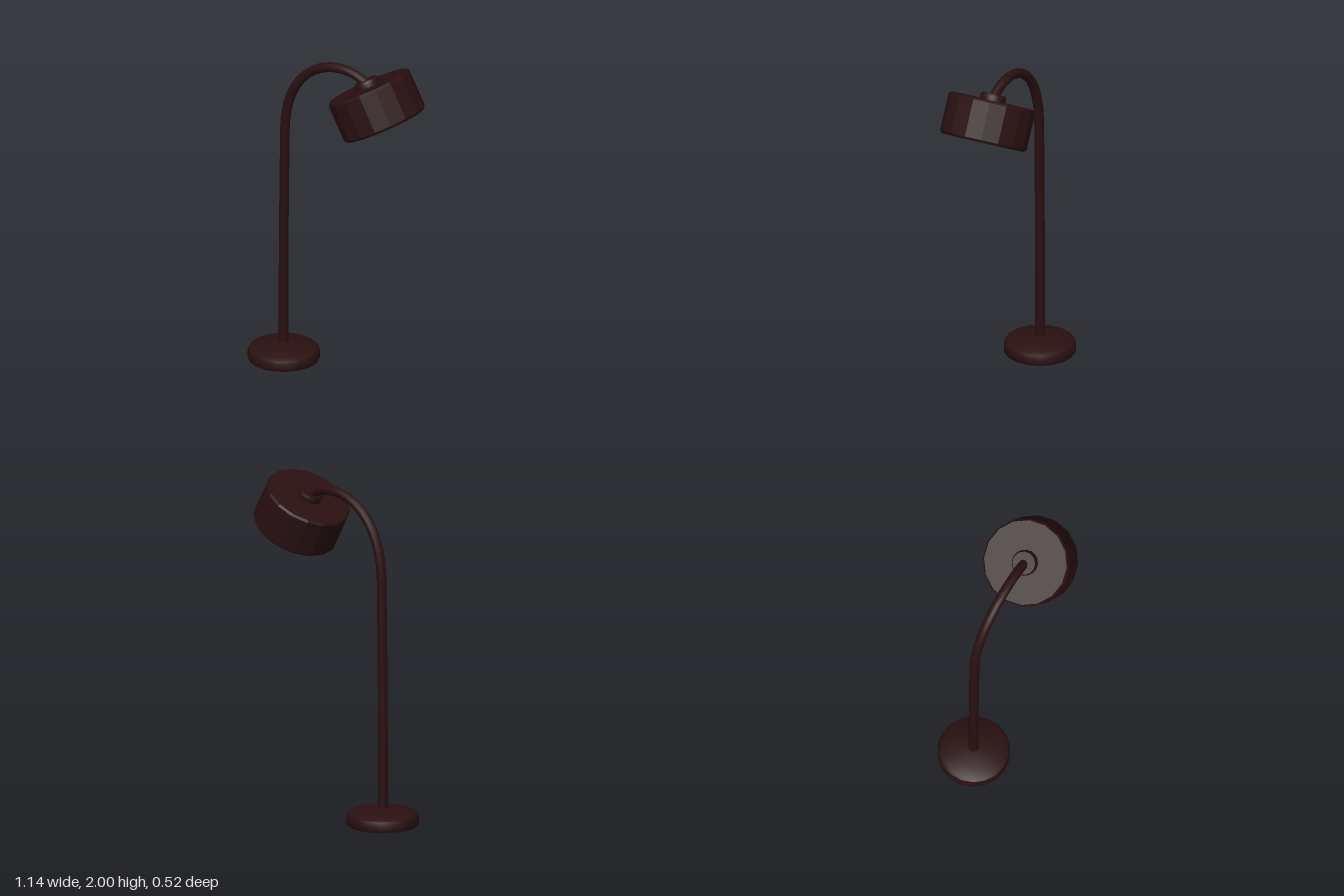
import * as THREE from 'three';
import { toCreasedNormals } from 'three/addons/utils/BufferGeometryUtils.js';

const bronze = new THREE.MeshStandardMaterial({ color: 0x2a1011 });
bronze.name = 'darkBronze';
const amber = new THREE.MeshStandardMaterial({ color: 0xc98529 });
amber.name = 'amberLining';

// Turned part from [radius, height] pairs, with edges sharper than the crease angle kept hard
function turned(name, profile, sides, material, crease) {
  const points = profile.map(([r, y]) => new THREE.Vector2(r, y));
  const geometry = toCreasedNormals(new THREE.LatheGeometry(points, sides), crease);
  const mesh = new THREE.Mesh(geometry, material);
  mesh.name = name;
  return mesh;
}

export function createModel() {
  const lamp = new THREE.Group();
  lamp.name = 'deskLamp';

  // Round foot with a gently sloping top
  const base = turned('base', [
    [0, 0], [0.208, 0], [0.213, 0.01], [0.213, 0.045], [0.205, 0.065],
    [0.185, 0.077], [0.12, 0.092], [0.06, 0.102], [0, 0.104],
  ], 18, bronze, 0.6);
  base.position.x = -0.358;
  lamp.add(base);

  // Gooseneck: near-vertical pole that bends over to the shade
  const path = new THREE.CatmullRomCurve3([
    [-0.36, 0.06], [-0.36, 0.5], [-0.356, 1.0], [-0.352, 1.3], [-0.344, 1.55],
    [-0.31, 1.69], [-0.26, 1.785], [-0.18, 1.87], [-0.08, 1.925],
    [0.02, 1.944], [0.12, 1.935], [0.215, 1.895],
  ].map(([x, y]) => new THREE.Vector3(x, y, 0)));
  const arm = new THREE.Mesh(new THREE.TubeGeometry(path, 36, 0.029, 10), bronze);
  arm.name = 'arm';
  lamp.add(arm);

  // Tilted head; its origin is the centre of the open rim
  const head = new THREE.Group();
  head.name = 'head';
  head.position.set(0.345, 1.657, 0);
  head.rotation.z = THREE.MathUtils.degToRad(28.3);
  lamp.add(head);

  head.add(turned('shade', [
    [0.21, 0], [0.248, 0], [0.26, 0.014], [0.26, 0.238], [0.25, 0.25], [0, 0.25],
  ], 16, bronze, 0.3));

  // Inside wall and ceiling of the shade
  head.add(turned('lining', [[0, 0.15], [0.2, 0.145], [0.21, 0]], 16, amber, 0.3));

  // Collar joining arm and shade
  head.add(turned('collar', [
    [0.076, 0.245], [0.076, 0.275], [0.068, 0.29], [0, 0.29],
  ], 16, bronze, 0.6));

  return lamp;
}
